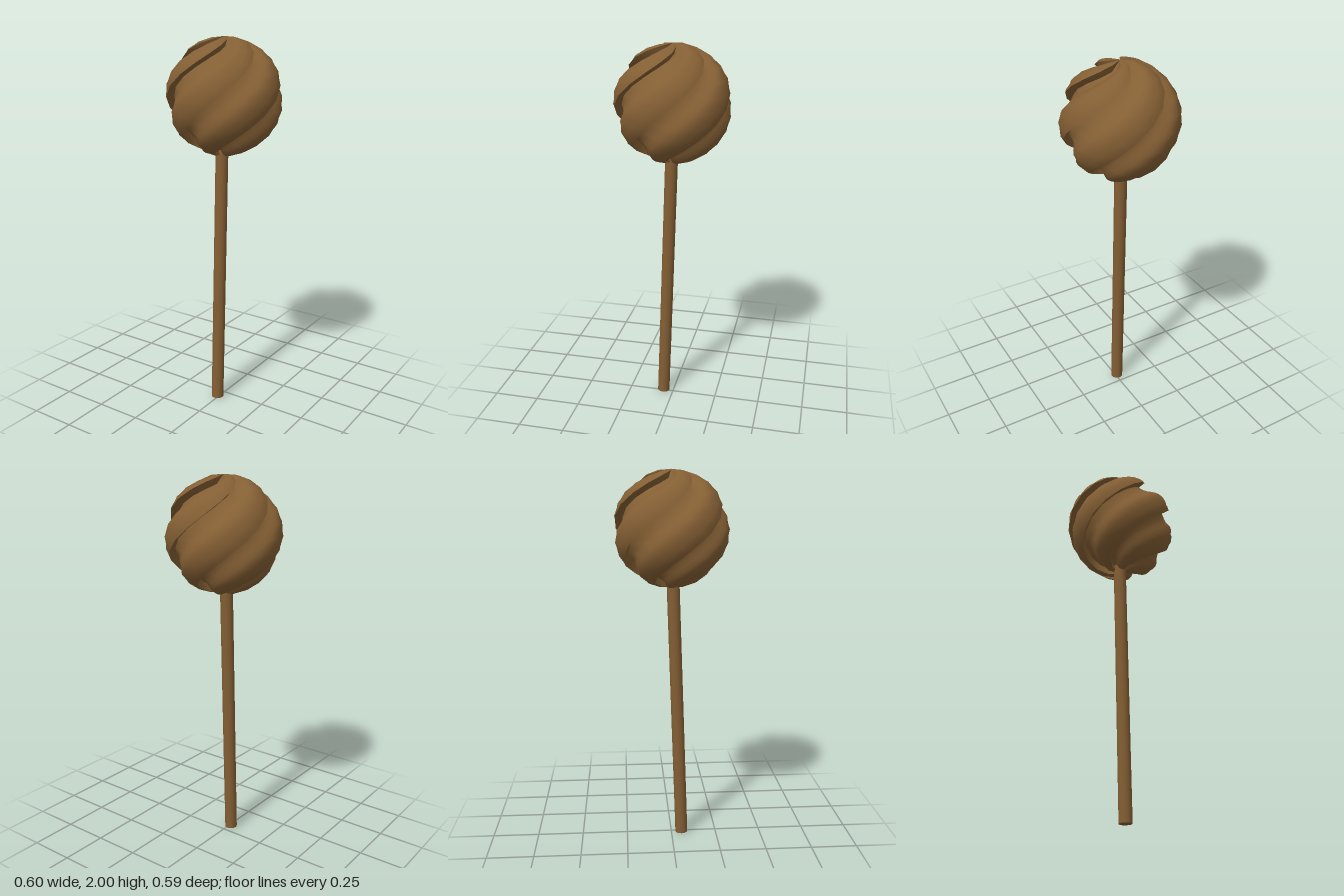
import * as THREE from 'three';

const RADIUS = 0.301, CENTRE_Y = 1.699, ARMS = 5, RINGS = 14;
const TWIST = 1.25;                                   // turn of a ridge per unit of polar angle
const START = THREE.MathUtils.degToRad(173.5);

// Cross-section of one arm: [position across the arm, radius].
// A groove rises softly to a broad ridge, which ends in an overhanging lip
const ridge = [[-0.1, 0.258], [0.02, 0.256], [0.12, 0.257], [0.22, 0.263], [0.32, 0.275],
  [0.42, 0.289], [0.52, 0.298], [0.64, 0.302], [0.78, 0.303], [0.9, 0.302], [1, 0.297]];
const undercut = [ridge[ridge.length - 1], [0.9, 0.258]];

// Sweep a cross-section from pole to pole along the twisted arm
function sweep(section, arm) {
  const positions = [], indices = [], n = section.length;
  for (let i = 0; i <= RINGS; i++) {
    const polar = (i / RINGS) * Math.PI;
    const depth = Math.min(1, Math.sin(polar) * 4);
    for (const [u, radius] of section) {
      const r = RADIUS - (RADIUS - radius) * depth;
      const a = START + TWIST * polar + (arm + 1 - u) * 2 * Math.PI / ARMS;
      positions.push(r * Math.sin(polar) * Math.cos(a), r * Math.cos(polar), r * Math.sin(polar) * Math.sin(a));
    }
  }
  for (let i = 0; i < RINGS; i++) {
    for (let j = 0; j < n - 1; j++) {
      const a = i * n + j, b = a + 1, c = a + n, d = c + 1;
      if (i === 0) indices.push(a, c, d);
      else if (i === RINGS - 1) indices.push(a, c, b);
      else indices.push(a, c, b, b, c, d);
    }
  }
  const geometry = new THREE.BufferGeometry();
  geometry.setAttribute('position', new THREE.Float32BufferAttribute(positions, 3));
  geometry.setIndex(indices);
  geometry.computeVertexNormals();
  return geometry;
}

export function createModel() {
  const model = new THREE.Group();
  model.name = 'swirledDipper';
  const wood = new THREE.MeshStandardMaterial({ color: 0x845f34, side: THREE.DoubleSide });
  wood.name = 'brown wood';

  // Swirled head
  const head = new THREE.Group();
  head.name = 'swirledHead';
  head.position.y = CENTRE_Y;
  for (let arm = 0; arm < ARMS; arm++) {
    const top = new THREE.Mesh(sweep(ridge, arm), wood);
    top.name = 'ridge';
    const wall = new THREE.Mesh(sweep(undercut, arm), wood);
    wall.name = 'ridgeUndercut';
    head.add(top, wall);
  }
  model.add(head);

  // Slightly leaning stick
  const foot = new THREE.Vector3(-0.01, 0.002, 0.057), tip = new THREE.Vector3(-0.01, 1.46, 0.008);
  const axis = tip.clone().sub(foot);
  const stick = new THREE.Mesh(new THREE.CylinderGeometry(0.034, 0.034, axis.length(), 16), wood);
  stick.name = 'stick';
  stick.position.copy(foot).add(tip).multiplyScalar(0.5);
  stick.quaternion.setFromUnitVectors(new THREE.Vector3(0, 1, 0), axis.normalize());
  model.add(stick);

  return model;
}
